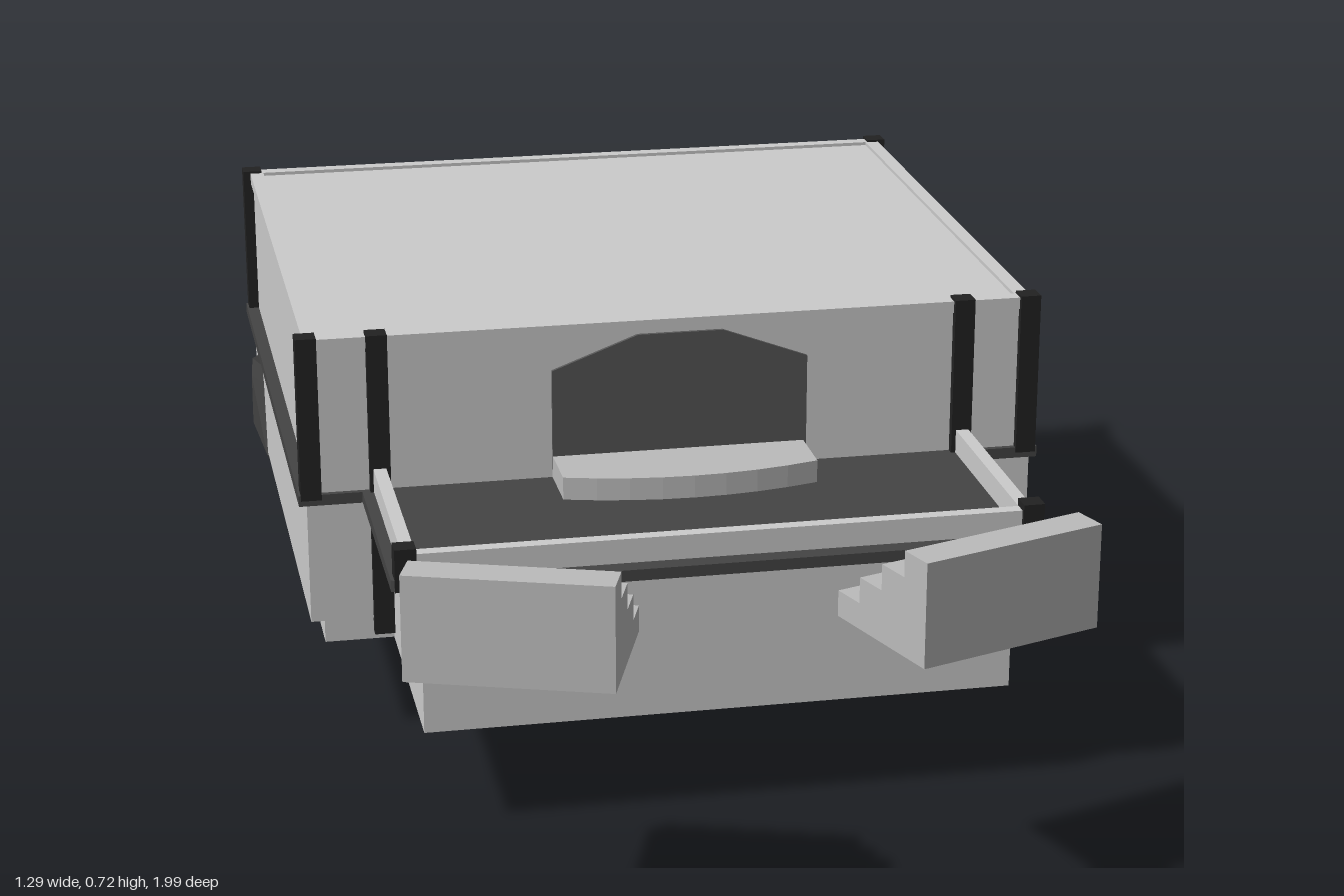
import * as THREE from 'three';
import { ConvexGeometry } from 'three/addons/geometries/ConvexGeometry.js';

const mat = (color) => new THREE.MeshStandardMaterial({ color, flatShading: true });

export function createModel() {
  const root = new THREE.Group();
  const grey = mat(0xcccccc), stone = mat(0xbbbbbb), black = mat(0x222222);
  const trimMat = mat(0x444444), doorMat = mat(0x555555), rockMat = mat(0x444444);

  const add = (name, geometry, material, parent = root) => {
    const mesh = new THREE.Mesh(geometry, material);
    mesh.name = name;
    parent.add(mesh);
    return mesh;
  };
  // Box given by its min and max on each axis
  const box = (name, [x0, x1], [y0, y1], [z0, z1], material = grey) => {
    const m = add(name, new THREE.BoxGeometry(x1 - x0, y1 - y0, z1 - z0), material);
    m.position.set((x0 + x1) / 2, (y0 + y1) / 2, (z0 + z1) / 2);
    return m;
  };
  const shapeOf = (pts) => new THREE.Shape(pts.map(([x, y]) => new THREE.Vector2(x, y)));
  // Plan outline in (x, z), raised from y0 to y1
  const slab = (name, shape, y0, y1, material) => {
    const g = new THREE.ExtrudeGeometry(shape, { depth: y1 - y0, bevelEnabled: false, curveSegments: 8 });
    g.rotateX(Math.PI / 2);
    g.translate(0, y1, 0);
    return add(name, g, material);
  };

  // Main building: foundation, lower storey, upper storey
  box('foundation', [-0.605, 0.605], [0.175, 0.22], [-0.955, 0.085]);
  box('lowerStorey', [-0.628, 0.632], [0.215, 0.435], [-0.975, 0.088]);
  box('upperStorey', [-0.62, 0.62], [0.44, 0.714], [-0.978, 0.09]);

  // Low rim around the roof
  for (const s of [-1, 1]) {
    box('roofRimSide', [s * 0.6125 - 0.0125, s * 0.6125 + 0.0125], [0.70, 0.72], [-0.985, 0.095]);
  }
  box('roofRimBack', [-0.62, 0.62], [0.70, 0.72], [-0.985, -0.96]);
  box('roofRimFront', [-0.62, 0.62], [0.70, 0.72], [0.07, 0.095]);

  // Terrace: base, wider deck and parapet
  box('terraceBase', [-0.487, 0.487], [0.175, 0.365], [0.05, 0.485]);
  box('terraceDeck', [-0.512, 0.514], [0.36, 0.448], [0.05, 0.508]);
  box('terraceParapetFront', [-0.505, 0.505], [0.44, 0.49], [0.477, 0.499]);
  for (const s of [-1, 1]) {
    box('terraceParapetSide', [s * 0.505 - 0.011, s * 0.505 + 0.011], [0.44, 0.49], [0.08, 0.49]);
  }

  // Dark band running round the building and the terrace
  slab('trimBand', shapeOf([
    [-0.642, -0.993], [0.642, -0.993], [0.642, 0.1], [0.535, 0.1], [0.535, 0.5], [0.515, 0.51],
    [0.46, 0.53], [-0.46, 0.53], [-0.515, 0.51], [-0.535, 0.5], [-0.535, 0.1], [-0.642, 0.1],
  ]), 0.43, 0.449, trimMat);

  // Posts, mirrored left and right
  const post = (name, x, z, y0, y1) =>
    box(name, [x - 0.0175, x + 0.0175], [y0, y1], [z - 0.0175, z + 0.0175], black);
  for (const s of [-1, 1]) {
    post('cornerPostBack', s * 0.621, -0.976, 0.44, 0.724);
    post('cornerPostFront', s * 0.621, 0.085, 0.44, 0.724);
    post('entrancePost', s * 0.504, 0.087, 0.19, 0.724);
    post('terracePost', s * 0.512, 0.49, 0.43, 0.502);
  }

  // Angular-topped door
  const doorShape = shapeOf([
    [-0.21, 0.445], [0.23, 0.445], [0.23, 0.64], [0.083, 0.695], [-0.063, 0.695], [-0.21, 0.64],
  ]);
  add('door', new THREE.ExtrudeGeometry(doorShape, { depth: 0.02, bevelEnabled: false }), doorMat)
    .position.z = 0.076;

  // Bowed doorstep
  const step = new THREE.Shape();
  step.moveTo(-0.21, 0.08);
  step.lineTo(0.225, 0.08);
  step.lineTo(0.225, 0.2);
  step.quadraticCurveTo(0.0075, 0.265, -0.21, 0.2);
  slab('doorstep', step, 0.447, 0.488, stone);

  // Two free-standing stairs, rising toward the front
  const W = 0.316, D = 0.235, H = 0.168, N = 4;
  const profile = [[-D / 2, 0]];
  for (let i = 0; i < N; i++) {
    const y = ((i + 1) * H) / N;
    profile.push([-D / 2 + (i * D) / N, y], [-D / 2 + ((i + 1) * D) / N, y]);
  }
  profile.push([D / 2, 0]);
  const stairGeo = new THREE.ExtrudeGeometry(shapeOf(profile), { depth: W, bevelEnabled: false });
  stairGeo.translate(0, 0, -W / 2);
  stairGeo.rotateY(-Math.PI / 2);
  for (const [name, x, angle] of [['rightStairs', -0.3775, -0.33], ['leftStairs', 0.3075, 0.33]]) {
    const stairs = add(name, stairGeo, stone);
    stairs.position.set(x, 0.448, 0.831);
    stairs.rotation.y = angle;
  }

  // Faceted rocks under the building
  const rock = (name, pts) =>
    add(name, new ConvexGeometry(pts.map((p) => new THREE.Vector3(...p))), rockMat);
  rock('largeRock', [
    [-0.415, 0, -0.81], [-0.54, 0.03, -0.84], [-0.47, 0.05, -0.92], [-0.57, 0.07, -0.8],
    [-0.32, 0.12, -0.82], [-0.38, 0.1, -0.71], [-0.49, 0.1, -0.7], [-0.31, 0.2, -0.85],
    [-0.4, 0.2, -0.69], [-0.36, 0.17, -0.96], [-0.52, 0.17, -0.985], [-0.61, 0.17, -0.92],
    [-0.63, 0.21, -0.77], [-0.65, 0.36, -0.81], [-0.645, 0.385, -0.84], [-0.648, 0.25, -0.85],
    [-0.53, 0.385, -0.998], [-0.56, 0.36, -1], [-0.5, 0.24, -0.995],
  ]);
  rock('mediumRock', [
    [0.45, 0.06, -0.86], [0.53, 0.09, -0.84], [0.48, 0.085, -0.92], [0.39, 0.11, -0.89],
    [0.41, 0.1, -0.81], [0.36, 0.14, -0.86], [0.56, 0.12, -0.88], [0.5, 0.12, -0.78],
    [0.575, 0.19, -0.85], [0.36, 0.2, -0.83], [0.45, 0.19, -0.76], [0.48, 0.19, -0.95],
    [0.4, 0.18, -0.93], [0.54, 0.2, -0.79],
  ]);
  rock('flatRock', [
    [-0.28, 0.137, -0.87], [-0.19, 0.145, -0.85], [-0.24, 0.142, -0.82], [-0.315, 0.16, -0.88],
    [-0.12, 0.18, -0.85], [-0.2, 0.18, -0.8], [-0.3, 0.18, -0.81], [-0.22, 0.18, -0.92], [-0.31, 0.18, -0.91],
  ]);
  rock('smallRock', [
    [0.41, 0.152, -0.58], [0.385, 0.165, -0.6], [0.435, 0.165, -0.565], [0.38, 0.18, -0.56],
    [0.44, 0.18, -0.6], [0.42, 0.18, -0.54], [0.4, 0.18, -0.62],
  ]);

  return root;
}
